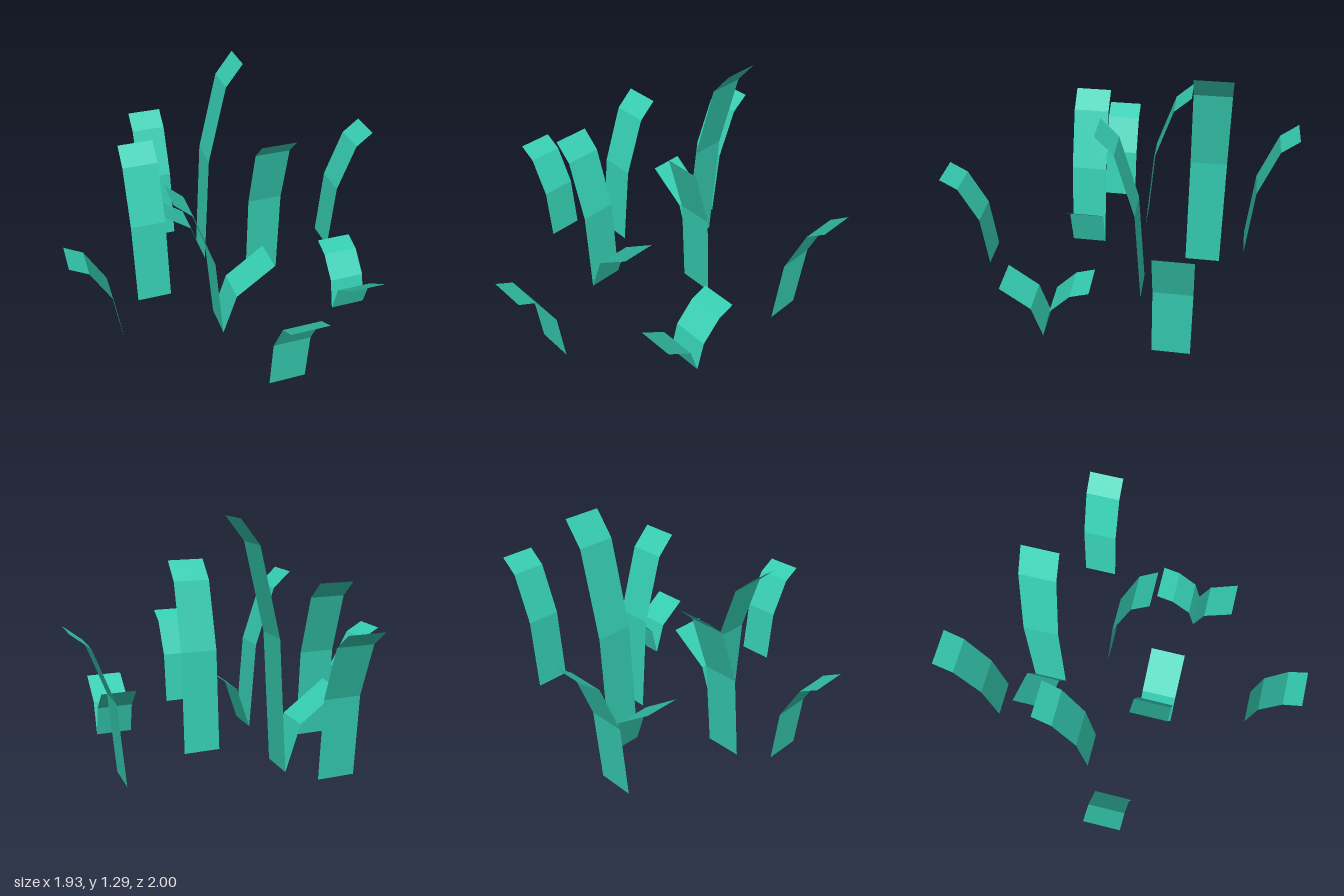
import * as THREE from 'three';

const WIDTH = 0.2;
const material = new THREE.MeshStandardMaterial({
  color: 0x35cdb2, flatShading: true, side: THREE.DoubleSide,
});

// Bend profiles as [forward, up] from the root
const tallProfile = (h) => [[0, 0], [0.04, 0.54 * h], [0.15, 0.9 * h], [0.25, h]];
const shortProfile = (h) => [[0, 0], [0.2 * h, 0.6 * h], [0.75 * h, h]];

// A flat ribbon whose rows follow the profile, leaning towards +z
function bladeGeometry(profile) {
  const geometry = new THREE.PlaneGeometry(WIDTH, 1, 1, profile.length - 1);
  const position = geometry.attributes.position;
  for (let i = 0; i < position.count; i++) {
    const [forward, up] = profile[profile.length - 1 - Math.floor(i / 2)];
    position.setY(i, up);
    position.setZ(i, forward);
  }
  geometry.computeVertexNormals();
  return geometry;
}

// Turn that makes a blade lean in each direction
const TURN = { '+z': 0, '+x': Math.PI / 2, '-z': Math.PI, '-x': -Math.PI / 2 };

// Root x, root z, lean direction, height
const tallBlades = [
  [-0.29, -0.75, '-z', 0.79],
  [-0.08, -0.505, '+x', 1.295],
  [0.715, -0.385, '+x', 0.785],
  [-0.475, -0.13, '-z', 0.92],
  [0.217, -0.18, '+z', 1.02],
  [-0.72, 0.08, '-x', 0.56],
  [0.03, 0.745, '+z', 0.56],
  [0.59, 0.295, '-z', 0.315],
  [-0.18, 0.197, '-x', 0.915],
];
const shortBlades = [
  [-0.08, -0.505, '-x', 0.41],
  [-0.18, 0.197, '+x', 0.4],
  [0.59, 0.295, '+z', 0.293],
];

export function createModel() {
  const model = new THREE.Group();
  model.name = 'grassPatch';

  const plant = (blades, profile, name) => {
    blades.forEach(([x, z, lean, height], i) => {
      const blade = new THREE.Mesh(bladeGeometry(profile(height)), material);
      blade.name = `${name}${i + 1}`;
      blade.position.set(x, 0, z);
      blade.rotation.y = TURN[lean];
      model.add(blade);
    });
  };

  plant(tallBlades, tallProfile, 'tallBlade');
  plant(shortBlades, shortProfile, 'shortBlade');
  return model;
}
